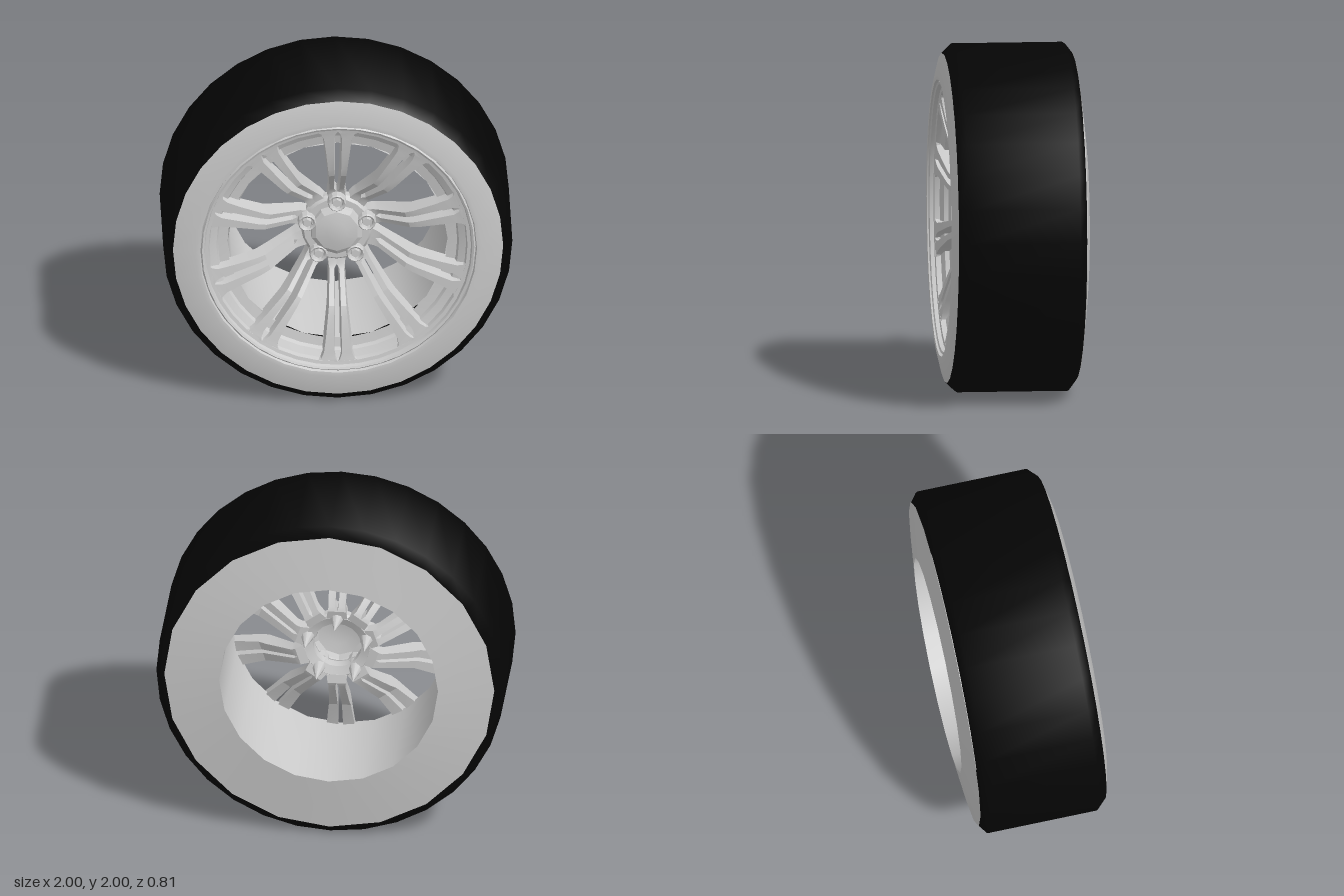
import * as THREE from 'three';
import { toCreasedNormals } from 'three/addons/utils/BufferGeometryUtils.js';

const grey = new THREE.MeshStandardMaterial({ color: 0xcccccc, side: THREE.DoubleSide });
const black = new THREE.MeshStandardMaterial({ color: 0x050505, side: THREE.DoubleSide });

function add(parent, name, geometry, material = grey) {
  const mesh = new THREE.Mesh(geometry, material);
  mesh.name = name;
  parent.add(mesh);
  return mesh;
}

// Surface of revolution about the z axis from [radius, z] pairs
function turned(profile, segments, crease = 0.4) {
  const points = profile.map(([r, z]) => new THREE.Vector2(r, z));
  const g = new THREE.LatheGeometry(points, segments).rotateX(Math.PI / 2);
  return toCreasedNormals(g, crease);
}

// Spoke stations: radius, slit edge at front, outer edge at front, front z, back z
const stations = [
  [0.185, 0.0, 0.052, 0.12, 0.05],
  [0.235, 0.0, 0.046, 0.13, 0.04],
  [0.26, 0.016, 0.042, 0.145, 0.05],
  [0.42, 0.019, 0.050, 0.295, 0.17],
  [0.47, 0.020, 0.055, 0.315, 0.21],
  [0.60, 0.022, 0.068, 0.34, 0.25],
  [0.69, 0.024, 0.080, 0.355, 0.27],
  [0.725, 0.014, 0.096, 0.36, 0.275],
  [0.745, 0.0, 0.135, 0.365, 0.28],
  [0.765, 0.0, 0.170, 0.365, 0.29],
];

// One half of a double spoke: a box bent through the stations, wider at the back
function ribGeometry(side) {
  const n = stations.length - 1;
  const g = new THREE.BoxGeometry(1, 1, 1, 1, n, 1);
  const p = g.attributes.position;
  for (let i = 0; i < p.count; i++) {
    const [r, inner, outer, front, back] = stations[Math.round((p.getY(i) + 0.5) * n)];
    const isOuter = p.getX(i) * side > 0;
    const isFront = p.getZ(i) > 0;
    const u = isOuter ? outer * (isFront ? 1 : 1.15) : inner * (isFront ? 1 : 0.6);
    p.setXYZ(i, u * side, r, isFront ? front : back);
  }
  return toCreasedNormals(g, 0.35);
}

function createTyre(parent) {
  add(parent, 'tread', turned([
    [0.9, -0.35], [0.945, -0.362], [1, -0.32], [1, 0.32], [0.945, 0.375],
  ], 32, 1), black);
  add(parent, 'frontSidewall', turned([
    [0.946, 0.375], [0.82, 0.406], [0.795, 0.404], [0.788, 0.385],
  ], 32));
  add(parent, 'backSidewall', turned([[0.63, -0.406], [0.95, -0.365]], 20));
}

function createRim(parent) {
  add(parent, 'rimLip', turned([
    [0.79, 0.385], [0.78, 0.396], [0.768, 0.39], [0.762, 0.368], [0.742, 0.364],
    [0.735, 0.335], [0.695, 0.315], [0.685, 0.29], [0.63, 0.28],
  ], 40));
  add(parent, 'barrel', turned([[0.63, 0.28], [0.63, -0.406]], 20));
}

function createSpokes(parent) {
  const left = ribGeometry(1), right = ribGeometry(-1);
  for (let i = 0; i < 10; i++) {
    const spoke = new THREE.Group();
    spoke.name = 'doubleSpoke';
    add(spoke, 'leftRib', left);
    add(spoke, 'rightRib', right);
    spoke.rotation.z = i * Math.PI / 5;
    parent.add(spoke);
  }
}

function createHub(parent) {
  // Open ring behind the cap
  add(parent, 'hubFlange', turned([
    [0.14, 0.13], [0.14, 0.07], [0.19, 0.05], [0.21, 0.07], [0.21, 0.115], [0.19, 0.14], [0.14, 0.14],
  ], 20));
  add(parent, 'centreCap', turned([
    [0.16, 0.12], [0.15, 0.165], [0.125, 0.18], [0.06, 0.192], [0, 0.195],
  ], 10, 0.3));

  // Shared geometry for the five wheel bolts
  const cup = turned([
    [0.055, 0.11], [0.052, 0.175], [0.046, 0.182], [0.036, 0.175], [0.034, 0.145], [0, 0.145],
  ], 12);
  const head = toCreasedNormals(
    new THREE.CylinderGeometry(0.025, 0.028, 0.035, 6).rotateX(Math.PI / 2), 0.3);
  const tail = toCreasedNormals(
    new THREE.ConeGeometry(0.05, 0.2, 8).rotateX(-Math.PI / 2), 0.9);
  for (let i = 0; i < 5; i++) {
    const bolt = new THREE.Group();
    bolt.name = 'wheelBolt';
    add(bolt, 'boltCup', cup);
    add(bolt, 'boltHead', head).position.z = 0.16;
    add(bolt, 'boltTail', tail).position.z = 0.01;
    const a = Math.PI / 2 + i * Math.PI * 2 / 5;
    bolt.position.set(0.18 * Math.cos(a), 0.18 * Math.sin(a), 0);
    parent.add(bolt);
  }
}

export function createModel() {
  const model = new THREE.Group();
  model.name = 'wheel';
  const wheel = new THREE.Group();
  wheel.name = 'wheelAssembly';
  wheel.position.y = 1;
  createTyre(wheel);
  createRim(wheel);
  createSpokes(wheel);
  createHub(wheel);
  model.add(wheel);
  return model;
}
